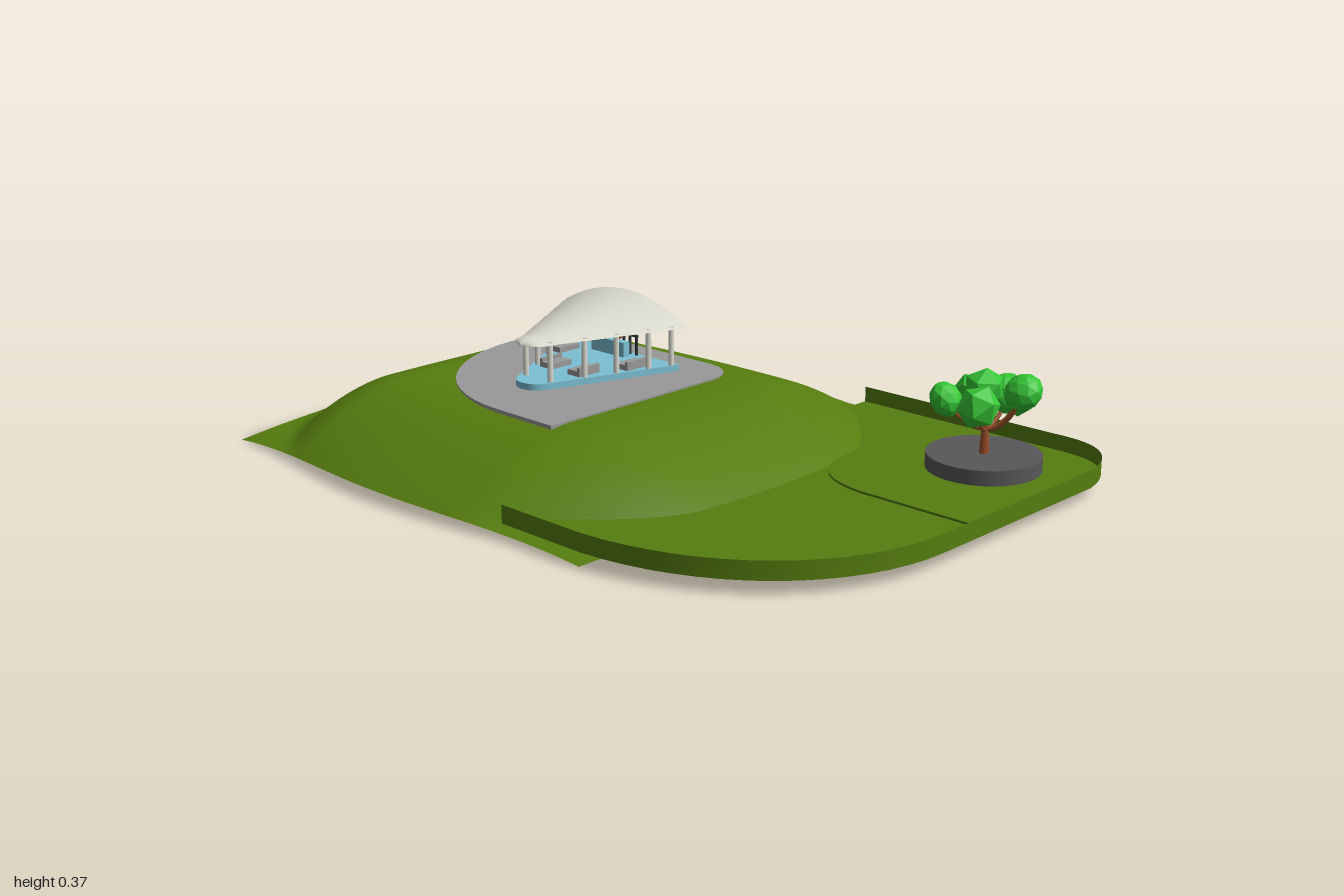
import * as THREE from 'three';

const mat = (name, color, extra = {}) => Object.assign(new THREE.MeshStandardMaterial({ color, ...extra }), { name });
const DS = { side: THREE.DoubleSide };
const grass = mat('grass', 0x567d0f, DS);
const paving = mat('paving', 0x999999);
const soil = mat('soil', 0x58585a);
const shell = mat('shell', 0xd9d8cc, DS);
const post = mat('post', 0xdcdcd2);
const blue = mat('blue', 0x7cc0d4);
const orange = mat('orange', 0xd0743a);
const dark = mat('dark', 0x2e3438);
const bark = mat('bark', 0x9a5028);
const leaf = mat('leaf', 0x35c735, { flatShading: true });

function add(group, name, geometry, material, x = 0, y = 0, z = 0) {
  const mesh = new THREE.Mesh(geometry, material);
  mesh.name = name;
  mesh.position.set(x, y, z);
  group.add(mesh);
  return mesh;
}

// Flat plate from a shape drawn in (x, -z), lying between y0 and y1
function plate(shape, y0, y1) {
  const g = new THREE.ExtrudeGeometry(shape, { depth: y1 - y0, bevelEnabled: false, curveSegments: 14 });
  return g.rotateX(-Math.PI / 2).translate(0, y0, 0);
}

// Grid surface from a rule: fn(u, v) -> [x, y, z], u and v from -1 to 1
function surface(nu, nv, fn) {
  const g = new THREE.PlaneGeometry(2, 2, nu, nv).rotateX(-Math.PI / 2);
  const p = g.attributes.position;
  for (let i = 0; i < p.count; i++) p.setXYZ(i, ...fn(p.getX(i), p.getZ(i)));
  g.computeVertexNormals();
  return g;
}

// Rounded hill sheet with a flat crown and gently wavy edges
function hillPoint(u, v) {
  const x = -0.28 + 0.68 * u, z = 0.675 * v;
  const dx = Math.max(0, (x - 0.0) / 0.4, (-0.66 - x) / 0.3);
  const dz = Math.max(0, (z - 0.28) / 0.395, (-0.28 - z) / 0.395);
  const d = Math.min(1, Math.pow(dx ** 1.6 + dz ** 1.6, 0.625));
  const base = 0.008 + 0.03 * (2 - u * u - v * v);
  const y = base + (0.177 - base) * (1 - d ** 1.65);
  const bx = (u > 0 ? 0.05 : 0.025) * (1 - v * v) * u * Math.abs(u);
  const wave = v > 0 ? 0.058 * Math.cos(u * Math.PI / 2) ** 2 - 0.012 : 0.02 + 0.038 * (1 - (u - 0.3) ** 2);
  return [x + bx - 0.012 * (1 - Math.abs(u)), y, z + wave * v * Math.abs(v)];
}

// Vaulted roof: wide and tall at the back, tapering to a rounded tip
function roofPoint(u, v) {
  const t = (v + 1) / 2;
  const z = -0.265 + 0.45 * t;
  const k = Math.min(1, t / 0.87);
  const tip = t > 0.87 ? Math.sqrt(Math.max(0, 1 - ((t - 0.87) / 0.13) ** 2)) : 1;
  const half = (0.248 - 0.186 * k) * tip;
  const top = (0.07 - 0.054 * k) * (0.35 + 0.65 * tip);
  return [-0.382 + 0.052 * k + half * u, 0.305 + top * (1 - u * u), z];
}

function createPavilion() {
  const g = new THREE.Group();
  g.name = 'pavilion';
  add(g, 'roof', surface(20, 40, roofPoint), shell);

  const s = new THREE.Shape();
  s.moveTo(-0.615, 0.245);
  s.lineTo(-0.15, 0.245);
  s.lineTo(-0.275, -0.14);
  s.quadraticCurveTo(-0.29, -0.18, -0.33, -0.18);
  s.quadraticCurveTo(-0.37, -0.18, -0.39, -0.14);
  s.closePath();
  add(g, 'deck', plate(s, 0.18, 0.2), blue);

  // Posts under both eaves
  for (const z of [0.12, 0.024, -0.067, -0.16, -0.227]) {
    for (const side of [-1, 1]) {
      const [x] = roofPoint(side, ((z + 0.265) / 0.45) * 2 - 1);
      add(g, 'post', new THREE.CylinderGeometry(0.008, 0.008, 0.112, 10), post, x - side * 0.016, 0.256, z);
    }
  }

  // Round panel, counter and railing at the back
  add(g, 'roundPanel', new THREE.CylinderGeometry(0.053, 0.053, 0.012, 32).rotateX(Math.PI / 2), orange, -0.39, 0.285, -0.222);
  add(g, 'counter', new THREE.BoxGeometry(0.13, 0.042, 0.024), blue, -0.38, 0.221, -0.202);
  for (let i = 0; i < 7; i++)
    add(g, 'railingBar', new THREE.BoxGeometry(0.006, 0.055, 0.006), dark, -0.455 + i * 0.025, 0.2275, -0.232);
  add(g, 'railingTop', new THREE.BoxGeometry(0.16, 0.006, 0.008), dark, -0.38, 0.256, -0.232);

  // Low seats inside
  for (const [x, z] of [[-0.28, 0], [-0.39, 0], [-0.23, -0.135], [-0.5, -0.135]]) {
    add(g, 'seat', new THREE.BoxGeometry(0.045, 0.015, 0.075), paving, x, 0.2075, z);
    add(g, 'seatBack', new THREE.BoxGeometry(0.01, 0.025, 0.075), paving, x + (x > -0.35 ? 0.02 : -0.02), 0.2125, z);
  }
  return g;
}

function createTree() {
  const g = new THREE.Group();
  g.name = 'tree';
  add(g, 'planter', new THREE.CylinderGeometry(0.15, 0.15, 0.046, 40), soil, 0.73, 0.071, -0.46);
  add(g, 'trunk', new THREE.CylinderGeometry(0.009, 0.013, 0.09, 8), bark, 0.73, 0.137, -0.46);
  const clumps = [
    [0.632, 0.225, -0.54, 0.05], [0.735, 0.235, -0.55, 0.054], [0.72, 0.268, -0.46, 0.053],
    [0.822, 0.27, -0.485, 0.048], [0.755, 0.237, -0.388, 0.055], [0.625, 0.222, -0.43, 0.045],
    [0.79, 0.235, -0.515, 0.04],
  ];
  clumps.forEach(([x, y, z, r], i) => {
    const crown = add(g, 'leafClump', new THREE.IcosahedronGeometry(r, i % 2), leaf, x, y, z);
    crown.rotation.set(i * 1.3, i * 0.7, i * 2.1);
    crown.scale.set(1.08, 0.9, 1.03);
    // Branch curving out to each clump
    const path = new THREE.QuadraticBezierCurve3(
      new THREE.Vector3(0.73, 0.155, -0.46),
      new THREE.Vector3(0.73 + (x - 0.73) * 0.7, 0.17, -0.46 + (z + 0.46) * 0.7),
      new THREE.Vector3(x, y, z));
    add(g, 'branch', new THREE.TubeGeometry(path, 8, 0.006, 6), bark);
  });
  return g;
}

export function createModel() {
  const model = new THREE.Group();
  model.name = 'hillsidePavilion';
  add(model, 'hill', surface(56, 56, hillPoint), grass);

  // Sunken lawn with a thin upright rim, open toward the hill
  const lawn = new THREE.Shape();
  lawn.moveTo(0.13, -0.66);
  lawn.lineTo(0.4, -0.66);
  lawn.bezierCurveTo(0.75, -0.64, 1, -0.4, 1, -0.08);
  lawn.lineTo(1, 0.54);
  lawn.bezierCurveTo(0.98, 0.66, 0.92, 0.732, 0.8, 0.732);
  lawn.lineTo(0.13, 0.732);
  add(model, 'lawn', new THREE.ShapeGeometry(lawn, 16).rotateX(-Math.PI / 2), grass, 0, 0.047, 0);
  const edge = lawn.getPoints(16);
  const n = edge.length - 1;
  add(model, 'lawnRim', surface(n, 1, (u, v) => {
    const e = edge[Math.round((u + 1) / 2 * n)];
    return [e.x, v > 0 ? 0.043 : 0.091, -e.y];
  }), grass);

  // Slightly raised corner bed under the tree
  const bed = new THREE.Shape();
  bed.moveTo(0.41, 0.715);
  bed.lineTo(0.41, 0.3);
  bed.quadraticCurveTo(0.42, 0.11, 0.62, 0.095);
  bed.lineTo(0.99, 0.095);
  bed.lineTo(0.99, 0.54);
  bed.bezierCurveTo(0.97, 0.65, 0.91, 0.715, 0.8, 0.715);
  bed.closePath();
  add(model, 'cornerBed', plate(bed, 0.048, 0.054), grass);

  // Paved terrace on the crown
  const terrace = new THREE.Shape();
  terrace.moveTo(-0.03, -0.35);
  terrace.lineTo(-0.03, 0.24);
  terrace.quadraticCurveTo(-0.03, 0.36, -0.15, 0.36);
  terrace.lineTo(-0.59, 0.36);
  terrace.quadraticCurveTo(-0.73, 0.355, -0.73, 0.2);
  terrace.bezierCurveTo(-0.74, -0.12, -0.5, -0.35, -0.23, -0.35);
  terrace.closePath();
  add(model, 'terrace', plate(terrace, 0.164, 0.182), paving);

  model.add(createPavilion(), createTree());
  return model;
}
